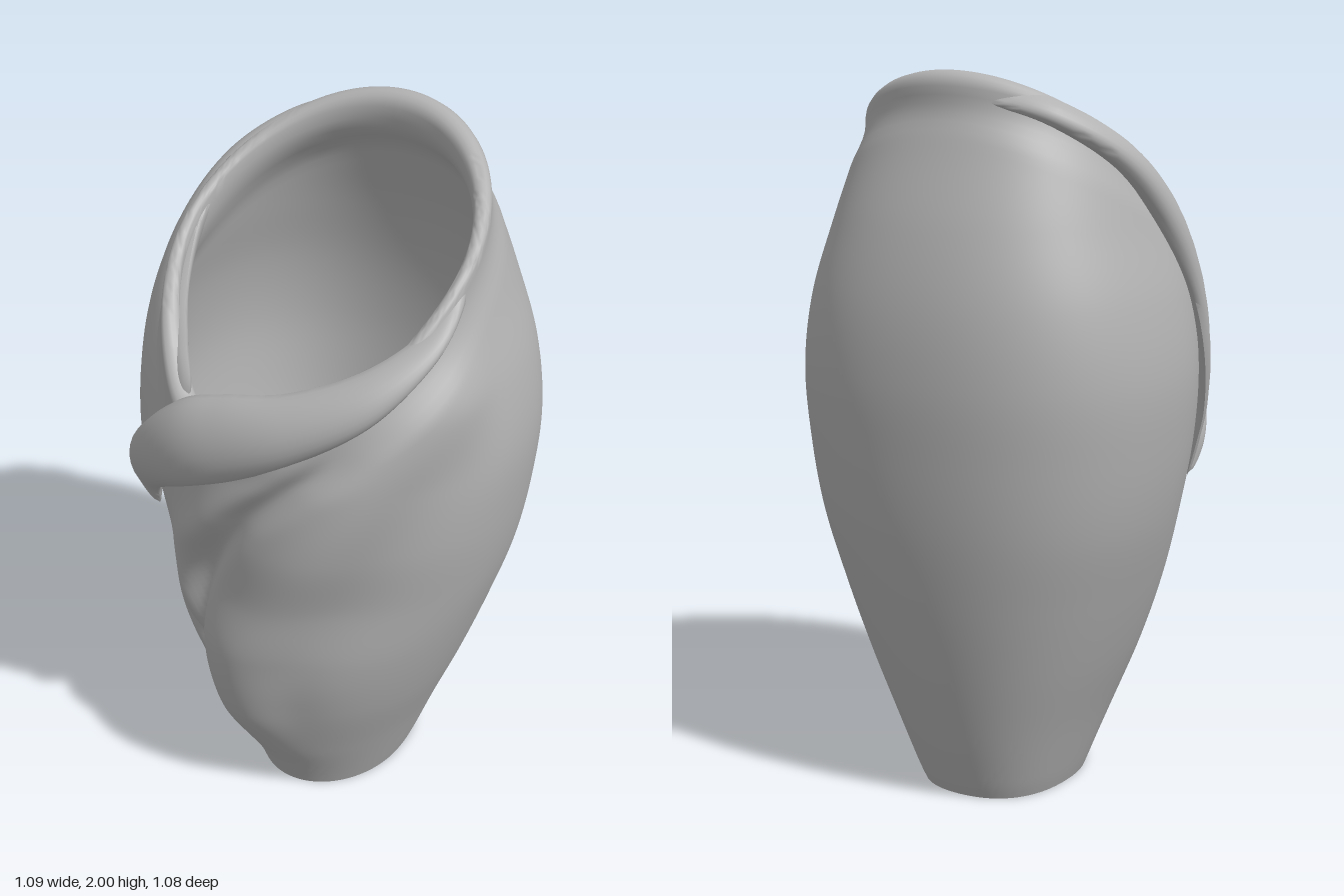
import * as THREE from 'three';
import { toCreasedNormals } from 'three/addons/utils/BufferGeometryUtils.js';

const { smoothstep, lerp, clamp } = THREE.MathUtils;
const gauss = (d, w) => Math.exp(-(d * d) / (w * w));

// Smooth lookup in a table of [key, value, value...] rows
function lookup(table, key, col) {
  const n = table.length - 1;
  let i = 0;
  while (i < n - 1 && key > table[i + 1][0]) i++;
  const slope = (k) => {
    const a = table[Math.max(k - 1, 0)], b = table[Math.min(k + 1, n)];
    return (b[col] - a[col]) / (b[0] - a[0]);
  };
  const p = table[i], q = table[i + 1], h = q[0] - p[0];
  const t = clamp((key - p[0]) / h, 0, 1), t2 = t * t, t3 = t2 * t;
  return p[col] * (2 * t3 - 3 * t2 + 1) + q[col] * (3 * t2 - 2 * t3)
    + h * (slope(i) * (t3 - 2 * t2 + t) + slope(i + 1) * (t3 - t2));
}

// Body outline: height, half width, back z, front z
const profile = [
  [0, 0.212, -0.285, 0.255], [0.04, 0.228, -0.303, 0.272], [0.2, 0.288, -0.36, 0.345],
  [0.4, 0.368, -0.42, 0.42], [0.6, 0.437, -0.47, 0.455], [0.8, 0.495, -0.508, 0.45],
  [1, 0.53, -0.53, 0.475], [1.2, 0.542, -0.54, 0.48], [1.4, 0.515, -0.525, 0.475],
  [1.6, 0.457, -0.478, 0.47], [1.8, 0.402, -0.405, 0.45], [1.9, 0.38, -0.37, 0.44], [2, 0.36, -0.34, 0.43],
];

// Drapery folds: depth, half width and path of [height, x] across the front
const folds = [
  { depth: -0.045, width: 0.04, path: [[0, -0.12], [0.3, -0.17], [0.5, -0.2], [0.7, -0.19], [0.85, -0.13], [1.05, 0], [1.2, 0.15], [1.33, 0.28], [1.6, 0.44]] },
  { depth: 0.04, width: 0.13, path: [[0.08, -0.05], [0.4, -0.06], [0.6, -0.03], [0.8, 0.08], [1, 0.2], [1.2, 0.31], [1.4, 0.41], [1.65, 0.47]] },
  { depth: -0.014, width: 0.09, path: [[0.15, 0.06], [0.5, 0.13], [0.7, 0.22], [1, 0.36], [1.2, 0.44], [1.45, 0.5]] },
  { depth: 0.025, width: 0.06, path: [[0.4, -0.25], [0.7, -0.26], [0.88, -0.22], [1.02, -0.1], [1.26, 0.17], [1.6, 0.42]] },
  { depth: -0.025, width: 0.02, path: [[0, -0.1], [0.2, -0.15], [0.4, -0.2], [0.6, -0.27], [0.85, -0.3]] },
];

function foldOffset(x, y, facing) {
  let sum = 0;
  for (const { depth, width, path } of folds) {
    const y0 = path[0][0], y1 = path[path.length - 1][0];
    const fade = smoothstep(y, y0, y0 + 0.28) * (1 - smoothstep(y, y1 - 0.25, y1));
    if (fade === 0) continue;
    const c = lookup(path, y, 1);
    const slope = (lookup(path, y + 0.02, 1) - lookup(path, y - 0.02, 1)) / 0.04;
    sum += depth * fade * gauss((x - c) / Math.hypot(1, slope), width);
  }
  return sum * smoothstep(facing, 0, 0.4);
}

// Point on the plain body, fuller at the back corners, moved in or out by an offset
function oval(angle, y, offset) {
  const back = lookup(profile, y, 2), front = lookup(profile, y, 3);
  const s = Math.sin(angle), c = Math.cos(angle);
  const full = c < 0 ? 1 + 0.055 * Math.sin(2 * angle) ** 2 : 1;
  return new THREE.Vector3(
    s * (lookup(profile, y, 1) * full + offset), y,
    (back + front) / 2 + c * ((front - back) / 2 * full + offset));
}

// Body wall following the drapery folds
function drapedWall(angle, y, offset) {
  const x = oval(angle, y, 0).x;
  return oval(angle, y, offset + foldOffset(x, y, Math.cos(angle)));
}

// Tilted rim, dipping at the front where the folds cover it
function rim(angle, offset) {
  const s = Math.sin(angle), c = Math.cos(angle);
  const z = 0.065 + 0.395 * c;
  const y = 1.75 - 0.63 * z - 0.14 * Math.max(0, c) ** 2 - 0.06 * gauss(angle + 0.5, 0.35);
  return new THREE.Vector3(0.005 + s * (0.41 + offset), y, z + c * offset);
}

// Mesh surface from a grid of points; rows run along i, wrapping where asked
function gridGeometry(grid, wrapI, wrapJ) {
  const ni = grid.length, nj = grid[0].length, index = [];
  for (let i = 0; i < (wrapI ? ni : ni - 1); i++) {
    for (let j = 0; j < (wrapJ ? nj : nj - 1); j++) {
      const i2 = (i + 1) % ni, j2 = (j + 1) % nj;
      const a = i * nj + j, b = i2 * nj + j, c = i2 * nj + j2, d = i * nj + j2;
      index.push(a, b, c, a, c, d);
    }
  }
  const geometry = new THREE.BufferGeometry().setFromPoints(grid.flat());
  geometry.setIndex(index);
  return toCreasedNormals(geometry, 0.8);
}

// Base, outer wall, lip, inner wall and floor in one continuous skin
function vesselGeometry() {
  const around = 180, outerRows = 90, lipRows = 8, innerRows = 60, floorY = 0.04;
  const grid = [];
  for (let i = 0; i < around; i++) {
    const angle = -Math.PI + (i / around) * Math.PI * 2;
    const c = Math.cos(angle), lip = 0.018 + 0.022 * c * c;
    const top = rim(angle, 0).y;
    const column = [new THREE.Vector3(0, 0, -0.015)];
    for (let j = 0; j <= outerRows; j++) {
      const y = (j / outerRows) * top;
      const p = drapedWall(angle, y, 0);
      const edge = rim(angle, lip), w = smoothstep(y, top - 0.12, top);
      column.push(p.set(lerp(p.x, edge.x, w), y, lerp(p.z, edge.z, w)));
    }
    for (let j = 1; j < lipRows; j++) {
      const phi = (j / lipRows) * Math.PI;
      const p = rim(angle, lip * Math.cos(phi));
      p.y += lip * Math.sin(phi);
      column.push(p);
    }
    for (let j = 0; j <= innerRows; j++) {
      const y = lerp(top, floorY, j / innerRows);
      const p = drapedWall(angle, y, -lerp(0.05, 0.035, smoothstep(y, 0, 0.4)));
      const edge = rim(angle, -lip), w = smoothstep(y, top - 0.14, top - 0.03);
      column.push(p.set(lerp(p.x, edge.x, w), y, lerp(p.z, edge.z, w)));
    }
    column.push(new THREE.Vector3(0, floorY, -0.015));
    grid.push(column);
  }
  return gridGeometry(grid, true, false);
}

// Padded band between two edge curves, bulging outward more than inward
function bandGeometry(upperPoints, lowerPoints, thickness, lift) {
  const curve = (pts) => new THREE.CatmullRomCurve3(pts.map((p) => new THREE.Vector3(...p)));
  const upper = curve(upperPoints), lower = curve(lowerPoints);
  const grid = [], steps = 70, sides = 24;
  for (let i = 0; i <= steps; i++) {
    const t = i / steps, a = upper.getPoint(t), b = lower.getPoint(t);
    const mid = a.clone().add(b).multiplyScalar(0.5);
    const half = a.clone().sub(b).multiplyScalar(0.5);
    const out = new THREE.Vector3(mid.x, 0, mid.z).normalize().setY(lift).normalize();
    const thick = thickness * Math.sqrt(Math.sin(Math.PI * t) + 1e-6);
    const ring = [];
    for (let j = 0; j < sides; j++) {
      const phi = (j / sides) * Math.PI * 2, s = Math.sin(phi);
      ring.push(mid.clone().addScaledVector(half, Math.cos(phi)).addScaledVector(out, thick * (s > 0 ? s : 0.4 * s)));
    }
    grid.push(ring);
  }
  return gridGeometry(grid, false, true);
}

export function createModel() {
  const clay = new THREE.MeshStandardMaterial({ color: 0xb2b2b2 });
  clay.name = 'grey clay';
  const group = new THREE.Group();
  group.name = 'drapedVase';
  const add = (name, geometry) => {
    const mesh = new THREE.Mesh(geometry, clay);
    mesh.name = name;
    group.add(mesh);
  };
  add('vessel', vesselGeometry());
  // Rolled collar from the left of the rim across the front to a point
  add('collarFold', bandGeometry([
    [0.415, 1.72, 0.04], [0.395, 1.63, 0.18], [0.3, 1.545, 0.32], [0.12, 1.465, 0.41], [-0.05, 1.42, 0.435],
    [-0.17, 1.375, 0.44], [-0.3, 1.26, 0.42], [-0.39, 1.14, 0.36], [-0.43, 1, 0.3], [-0.425, 0.87, 0.28],
  ], [
    [0.425, 1.66, 0.05], [0.425, 1.56, 0.21], [0.34, 1.42, 0.35], [0.18, 1.3, 0.44], [0.02, 1.21, 0.48],
    [-0.12, 1.14, 0.48], [-0.25, 1.06, 0.43], [-0.34, 0.99, 0.37], [-0.4, 0.92, 0.31], [-0.42, 0.86, 0.28],
  ], 0.075, 0.08));
  // Broad panel from under the collar, rolling up over the right of the rim to the back
  add('sidePanelFold', bandGeometry([
    [-0.42, 0.88, 0.28], [-0.3, 1.15, 0.38], [-0.19, 1.37, 0.4], [-0.25, 1.46, 0.33], [-0.335, 1.57, 0.21],
    [-0.39, 1.71, 0.05], [-0.365, 1.83, -0.1], [-0.26, 1.925, -0.23], [-0.1, 1.975, -0.3],
  ], [
    [-0.425, 0.86, 0.27], [-0.46, 0.96, 0.25], [-0.49, 1.06, 0.23], [-0.515, 1.23, 0.17], [-0.51, 1.4, 0.1],
    [-0.48, 1.56, 0], [-0.415, 1.74, -0.15], [-0.28, 1.86, -0.29], [-0.11, 1.92, -0.35],
  ], 0.06, 0.25));
  return group;
}
